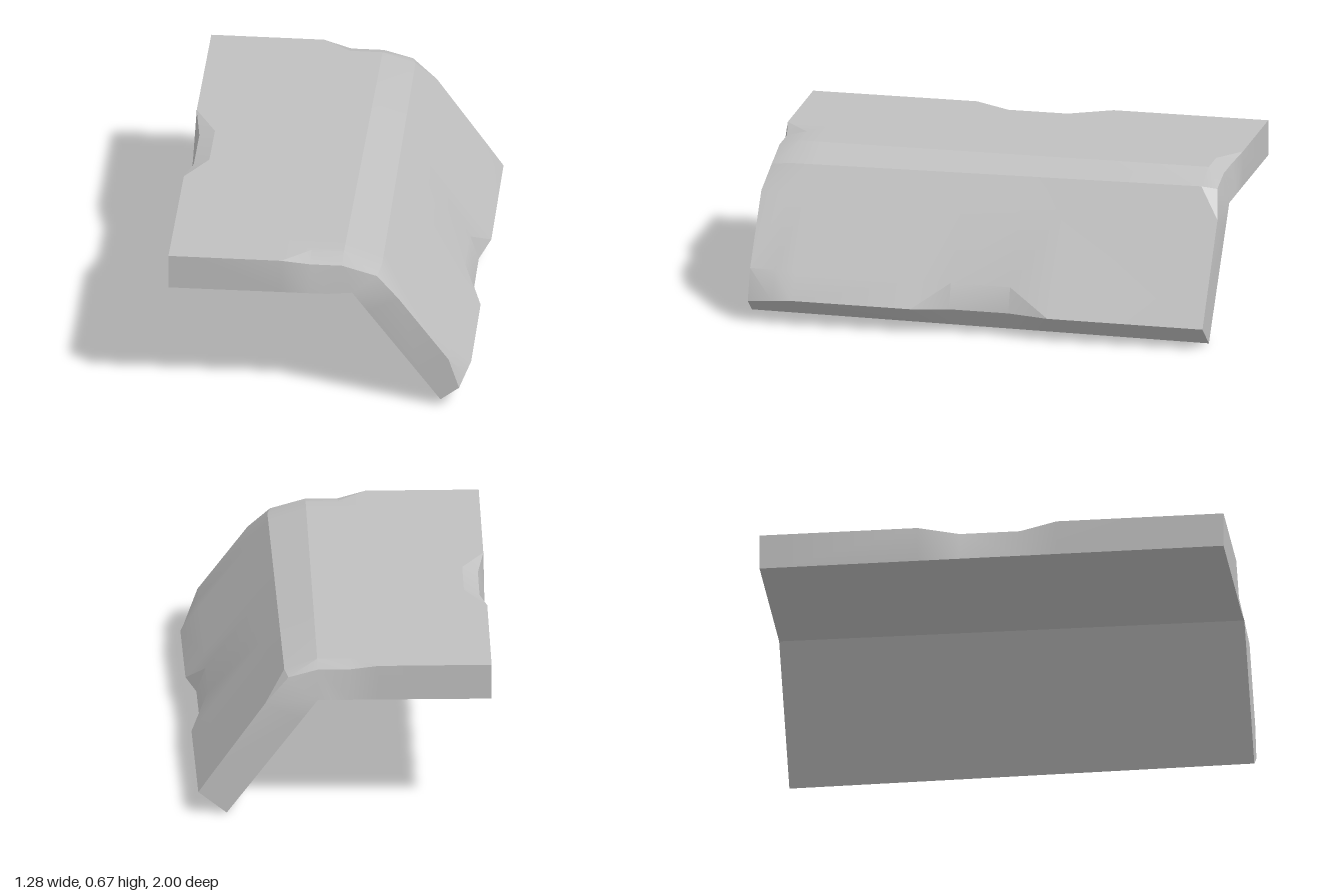
import * as THREE from 'three';
import { toCreasedNormals } from 'three/addons/utils/BufferGeometryUtils.js';

// Cross-section chains: [x, y] at the back end, then [x, y] at the front end
const UPPER = [
  [-0.645, 0.67, -0.645, 0.67], [-0.55, 0.67, -0.55, 0.67], [-0.16, 0.67, -0.16, 0.67],
  [-0.04, 0.67, -0.04, 0.67], [0.1, 0.67, 0.1, 0.67], [0.24, 0.624, 0.265, 0.615],
  [0.325, 0.503, 0.345, 0.51], [0.54, 0.199, 0.56, 0.225], [0.612, 0.096, 0.642, 0.115],
];
const LOWER = [
  [-0.645, 0.514, -0.645, 0.517], [-0.55, 0.514, -0.55, 0.517], [-0.16, 0.515, -0.16, 0.518],
  [-0.04, 0.515, -0.04, 0.518], [0.04, 0.515, 0.04, 0.519], [0.1, 0.515, 0.145, 0.53],
  [0.168, 0.425, 0.21, 0.444], [0.4, 0.119, 0.44, 0.142], [0.49, 0, 0.525, 0.03],
];
const STATIONS = [-1, -0.91, -0.32, -0.14, 0.12, 0.28, 0.8, 0.89, 1];
const LAST = UPPER.length - 1;

function point([x0, y0, x1, y1], z) {
  const t = (z + 1) / 2;
  return new THREE.Vector3(x0 + (x1 - x0) * t, y0 + (y1 - y0) * t, z);
}

// Upper corner points, pushed inwards where the slab is chipped
function upperPoint(i, z) {
  const p = point(UPPER[i], z);
  const middle = z > -0.2 && z < 0.2;
  if (Math.abs(z) === 1 && i >= 3 && i <= 5) {
    p.y -= i === 5 ? 0.012 : 0.024;
    if (i === 5) p.x -= 0.015;
    p.z *= 0.976;
  }
  if (middle && i === 0) p.add(new THREE.Vector3(0.028, -0.025, 0));
  if (middle && i === LAST) p.x -= 0.04;
  if (z > 0.8 && i === LAST) {
    const t = (z - 0.8) / 0.2;
    p.x -= 0.037 * t;
    p.y -= 0.025 * t;
  }
  return p;
}

function slabGeometry() {
  const upper = STATIONS.map(z => UPPER.map((_, i) => upperPoint(i, z)));
  const lower = STATIONS.map(z => LOWER.map(row => point(row, z)));
  const rings = upper.map((u, j) => [...u, ...lower[j].slice().reverse()]);
  const pos = [];
  const tri = (...pts) => pts.forEach(p => pos.push(p.x, p.y, p.z));
  // Split each quad along its convex diagonal
  const quad = (a, b, c, d) => {
    const n = b.clone().sub(a).cross(c.clone().sub(a));
    if (n.dot(d.clone().sub(a)) > 0) { tri(a, b, d); tri(b, c, d); }
    else { tri(a, b, c); tri(a, c, d); }
  };

  // Skin along the length
  for (let j = 0; j < rings.length - 1; j++) {
    const r = rings[j], s = rings[j + 1];
    for (let i = 0; i < r.length; i++) {
      const k = (i + 1) % r.length;
      quad(r[i], s[i], s[k], r[k]);
    }
  }
  // End faces
  const uf = upper[upper.length - 1], lf = lower[lower.length - 1];
  const ub = upper[0], lb = lower[0];
  for (let i = 0; i < LAST; i++) {
    quad(uf[i], lf[i], lf[i + 1], uf[i + 1]);
    quad(ub[i + 1], lb[i + 1], lb[i], ub[i]);
  }
  const geo = new THREE.BufferGeometry();
  geo.setAttribute('position', new THREE.Float32BufferAttribute(pos, 3));
  return toCreasedNormals(geo, 0.31);
}

export function createModel() {
  const stone = new THREE.MeshStandardMaterial({ color: 0xc0c0c0 });
  stone.name = 'light grey stone';
  const slab = new THREE.Mesh(slabGeometry(), stone);
  slab.name = 'bentSlab';
  const group = new THREE.Group();
  group.name = 'chippedEdgeStone';
  group.add(slab);
  return group;
}
